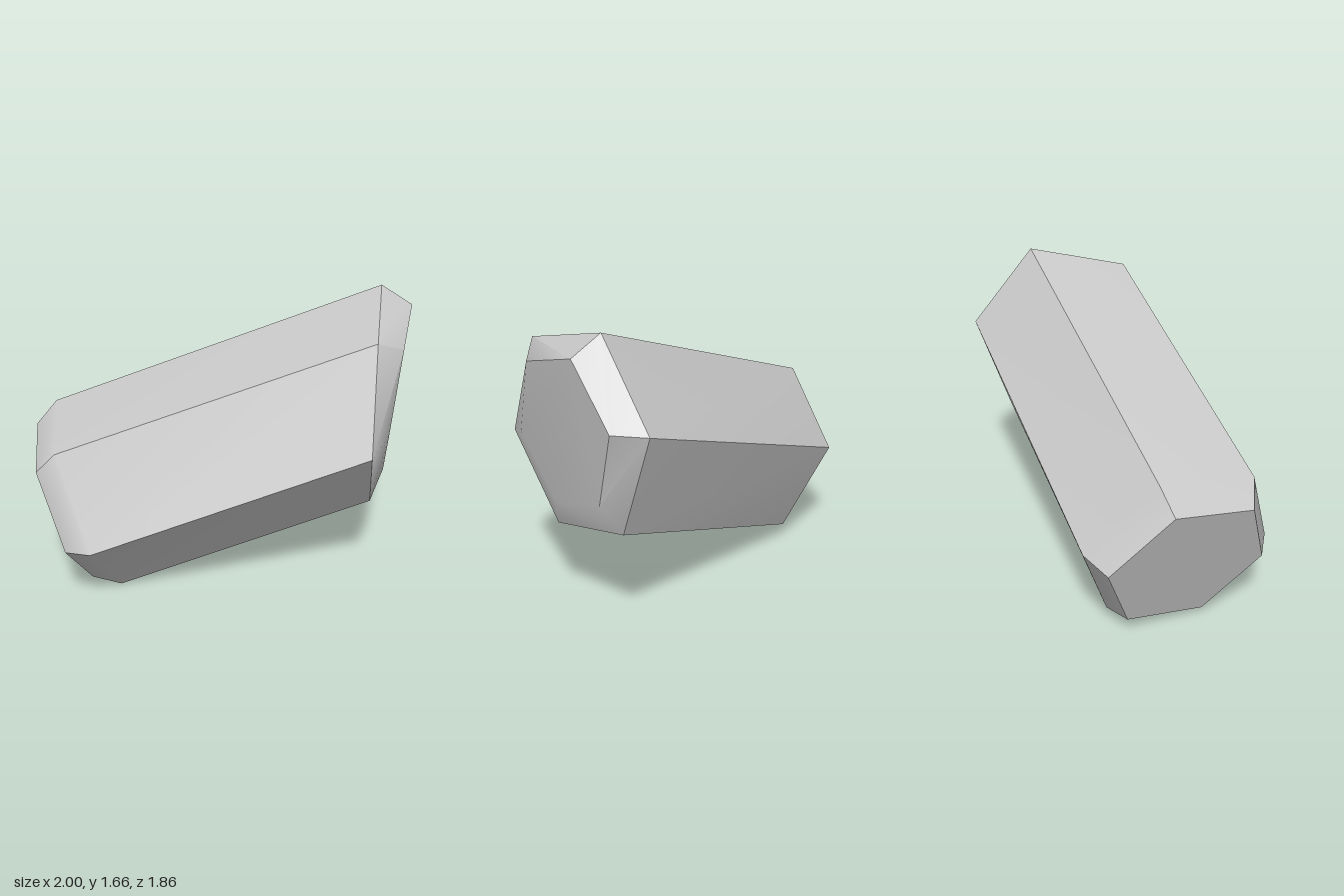
import * as THREE from 'three';

// Six-sided cross-sections along the crystal, listed in the same turning order
const sections = [
  // front end face
  [[-0.94, 0.87, 0.49], [-0.66, 0.79, 0.87], [-0.45, 0.375, 0.925],
    [-0.51, 0.03, 0.61], [-0.78, 0.10, 0.23], [-1.0, 0.52, 0.16]],
  // front shoulder
  [[-0.86, 1.0, 0.40], [-0.54, 0.92, 0.855], [-0.28, 0.41, 0.93],
    [-0.35, 0.0, 0.55], [-0.67, 0.085, 0.095], [-0.93, 0.595, 0.015]],
  // rear shoulder
  [[0.70, 1.665, -0.595], [0.91, 1.525, -0.06], [0.99, 0.95, 0.125],
    [0.855, 0.51, -0.22], [0.66, 0.64, -0.75], [0.575, 1.22, -0.93]],
  // slanted rear end face
  [[0.87, 1.565, -0.64], [0.99, 1.45, -0.235], [1.0, 1.01, -0.07],
    [0.89, 0.685, -0.305], [0.77, 0.80, -0.71], [0.76, 1.24, -0.875]],
];

function crystalTriangles() {
  const sides = 6;
  const last = (sections.length - 1) * sides;
  const triangles = [];

  // walls and bevels between neighbouring sections
  for (let s = 0; s < sections.length - 1; s++) {
    for (let k = 0; k < sides; k++) {
      const a = s * sides + k;
      const b = s * sides + (k + 1) % sides;
      triangles.push([a, b, a + sides], [b, b + sides, a + sides]);
    }
  }
  // flat end faces
  for (let k = 1; k < sides - 1; k++) {
    triangles.push([0, k + 1, k], [last, last + k, last + k + 1]);
  }
  return triangles;
}

// Large faces dominate the shared normals, so they stay flat while the
// shallow bevels blend into them; edges above the crease angle stay sharp.
function crystalGeometry(creaseDegrees) {
  const points = sections.flat().map((p) => new THREE.Vector3(...p));
  const triangles = crystalTriangles();
  const areas = triangles.map(([a, b, c]) => new THREE.Vector3()
    .subVectors(points[b], points[a])
    .cross(new THREE.Vector3().subVectors(points[c], points[a])));
  const crease = THREE.MathUtils.degToRad(creaseDegrees);

  const positions = [];
  const normals = [];
  triangles.forEach((triangle, t) => {
    for (const corner of triangle) {
      const normal = new THREE.Vector3();
      triangles.forEach((other, o) => {
        if (other.includes(corner) && areas[o].angleTo(areas[t]) < crease) normal.add(areas[o]);
      });
      positions.push(...points[corner].toArray());
      normals.push(...normal.normalize().toArray());
    }
  });

  const geometry = new THREE.BufferGeometry();
  geometry.setAttribute('position', new THREE.Float32BufferAttribute(positions, 3));
  geometry.setAttribute('normal', new THREE.Float32BufferAttribute(normals, 3));
  return geometry;
}

export function createModel() {
  const stone = new THREE.MeshStandardMaterial({ color: 0xcacaca });
  stone.name = 'light grey stone';

  const crystal = new THREE.Mesh(crystalGeometry(40), stone);
  crystal.name = 'crystal';

  const model = new THREE.Group();
  model.name = 'hexagonalCrystal';
  model.add(crystal);
  return model;
}
